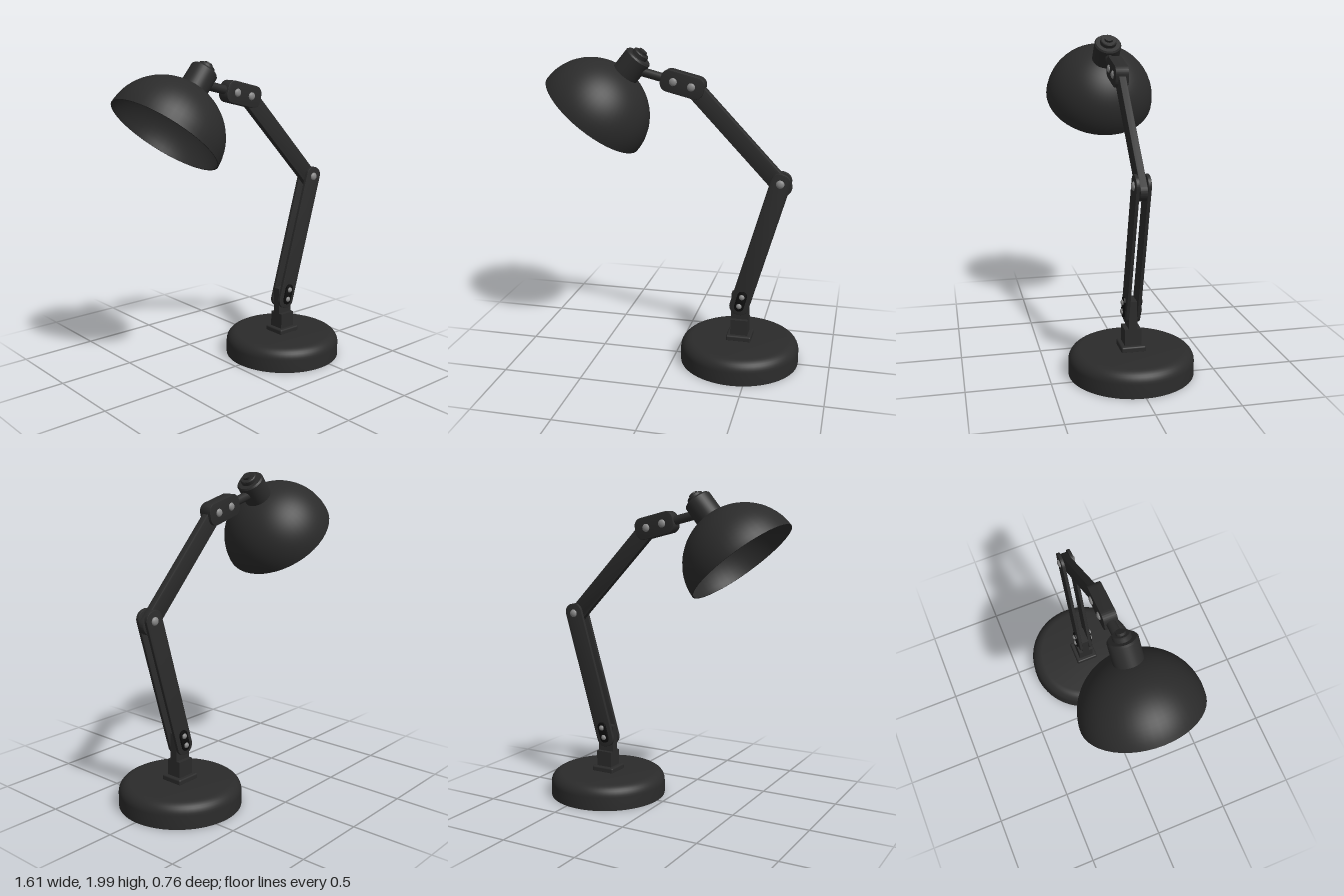
import * as THREE from 'three';
import { RoundedBoxGeometry } from 'three/addons/geometries/RoundedBoxGeometry.js';
import { toCreasedNormals } from 'three/addons/utils/BufferGeometryUtils.js';

const paint = (color, side = THREE.FrontSide) => new THREE.MeshStandardMaterial({ color, side });
const V2 = (x, y) => new THREE.Vector2(x, y);

export function createModel() {
  const lamp = new THREE.Group();
  const dark = paint(0x2b2b2b);
  const black = paint(0x0c0c0c);
  const steel = paint(0x888888);
  const shell = paint(0x2b2b2b, THREE.DoubleSide);

  function add(name, geometry, material, x = 0, y = 0, z = 0, parent = lamp) {
    const mesh = new THREE.Mesh(geometry, material);
    mesh.name = name;
    mesh.position.set(x, y, z);
    parent.add(mesh);
    return mesh;
  }

  const lathe = (pts, segments = 48) => toCreasedNormals(
    new THREE.LatheGeometry(pts.map(([x, y]) => V2(x, y)), segments), 0.6);

  // Flat bar with rounded ends running from a to b, overhanging each by "over"
  function bar(name, a, b, width, over, radius, depth, z, material = dark) {
    const half = Math.hypot(b[0] - a[0], b[1] - a[1]) / 2 + over;
    const bevel = Math.min(0.004, depth / 4);
    const h = width / 2 - bevel, l = half - bevel, r = radius - bevel;
    const s = new THREE.Shape();
    s.absarc(l - r, h - r, r, Math.PI / 2, 0, true);
    s.absarc(l - r, r - h, r, 0, -Math.PI / 2, true);
    s.absarc(r - l, r - h, r, -Math.PI / 2, -Math.PI, true);
    s.absarc(r - l, h - r, r, Math.PI, Math.PI / 2, true);
    const g = new THREE.ExtrudeGeometry(s, {
      depth: depth - 2 * bevel, bevelEnabled: true, bevelSize: bevel,
      bevelThickness: bevel, bevelSegments: 2, curveSegments: 10,
    });
    g.translate(0, 0, bevel - depth / 2);
    const m = add(name, toCreasedNormals(g, 0.6), material, (a[0] + b[0]) / 2, (a[1] + b[1]) / 2, z);
    m.rotation.z = Math.atan2(b[1] - a[1], b[0] - a[0]);
  }

  // Pair of domed bolt heads, front and back
  function bolts(name, [x, y], radius, surface, height) {
    for (const side of [1, -1]) {
      const g = new THREE.SphereGeometry(radius, 20, 8, 0, Math.PI * 2, 0, Math.PI / 2);
      g.scale(1, height / radius, 1);
      g.rotateX(side * Math.PI / 2);
      add(name, g, steel, x, y, side * surface);
    }
  }

  // Base: thick disc with a rounded upper edge
  const profile = [[0, 0], [0.38, 0], [0.38, 0.085]];
  for (let i = 1; i <= 8; i++) {
    const t = i / 8 * Math.PI / 2;
    profile.push([0.31 + 0.07 * Math.cos(t), 0.085 + 0.07 * Math.sin(t)]);
  }
  profile.push([0, 0.155]);
  add('base', lathe(profile, 64), dark, 0.42, 0, 0);

  // Post with a flange and a narrow tongue between the arms
  add('postFlange', new RoundedBoxGeometry(0.16, 0.04, 0.15, 2, 0.01), dark, 0.42, 0.167, 0);
  add('post', new THREE.BoxGeometry(0.11, 0.12, 0.1), dark, 0.42, 0.228, 0);
  add('postTongue', new THREE.BoxGeometry(0.11, 0.18, 0.05), dark, 0.42, 0.372, 0);

  // Lower arm: twin plates with a slot insert near the foot
  const foot = [0.418, 0.387], slotTop = [0.435, 0.45], elbow = [0.65, 1.2];
  for (const side of [1, -1]) {
    bar('lowerArm', foot, elbow, 0.124, 0.064, 0.055, 0.021, side * 0.0335);
    bar('slotInsert', foot, slotTop, 0.062, 0.036, 0.03, 0.012, side * 0.049, black);
  }
  bolts('footBolt', foot, 0.018, 0.054, 0.014);
  bolts('slotBolt', slotTop, 0.018, 0.054, 0.014);
  bolts('elbowBolt', elbow, 0.026, 0.043, 0.016);

  // Upper arm and the link that carries the shade
  const linkA = [-0.015, 1.795], linkB = [0.097, 1.767];
  bar('upperArm', linkB, [0.66, 1.175], 0.11, 0.058, 0.05, 0.044, 0);
  bar('headLink', linkA, [0.097, 1.767], 0.136, 0.079, 0.05, 0.082, 0);
  bolts('linkBolt', linkA, 0.025, 0.04, 0.014);
  bolts('linkBolt', linkB, 0.025, 0.04, 0.014);

  // Rod from the link to the lamp socket
  const rod = add('headRod', new THREE.CylinderGeometry(0.028, 0.028, 0.22, 20), dark, -0.16, 1.832, 0);
  rod.rotation.z = Math.atan2(0.028, -0.112) - Math.PI / 2;

  // Lamp head: local +y runs from the shade opening to the cap
  const head = new THREE.Group();
  head.name = 'lampHead';
  head.position.set(-0.535, 1.575, 0);
  head.rotation.z = -Math.atan2(0.455, 0.55);
  lamp.add(head);

  const dome = [];
  const R = 0.357, H = 0.345, wall = 0.008, steps = 18;
  for (let i = 0; i <= steps; i++) {
    const t = (1 - i / steps) * Math.PI / 2;
    dome.push([(R - wall) * Math.cos(t), (H - wall) * Math.sin(t)]);
  }
  for (let i = 0; i <= steps; i++) {
    const t = i / steps * Math.PI / 2;
    dome.push([R * Math.cos(t), H * Math.sin(t)]);
  }
  add('shade', lathe(dome, 48), shell, 0, 0, 0, head);

  // Socket collar with a stepped cap
  add('socket', lathe([[0, 0.325], [0.086, 0.325], [0.086, 0.462], [0.078, 0.472], [0, 0.472]], 32),
    dark, 0, 0, 0, head);
  add('socketCap', lathe([[0, 0.465], [0.052, 0.465], [0.052, 0.495], [0.047, 0.5], [0.028, 0.5],
    [0.028, 0.515], [0, 0.515]], 24), dark, 0, 0, 0, head);

  return lamp;
}
